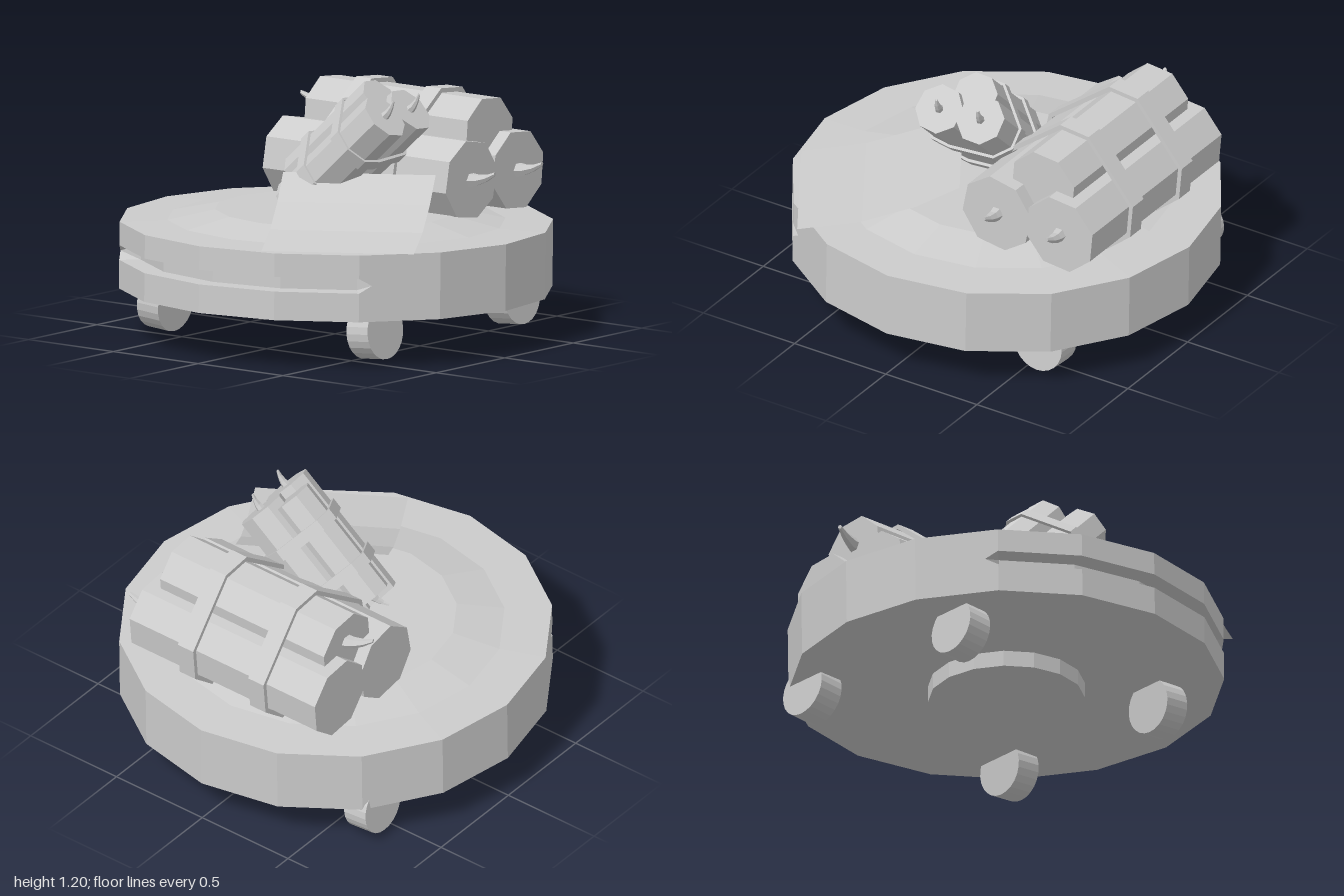
import * as THREE from 'three';

const mat = new THREE.MeshStandardMaterial({ color: 0xcccccc, flatShading: true });
const matDouble = new THREE.MeshStandardMaterial({ color: 0xcccccc, flatShading: true, side: THREE.DoubleSide });

function add(parent, name, geometry, x = 0, y = 0, z = 0, material = mat) {
  const mesh = new THREE.Mesh(geometry, material);
  mesh.name = name;
  mesh.position.set(x, y, z);
  parent.add(mesh);
  return mesh;
}

// Skin a grid of points: rows of equal length
function skin(rows) {
  const n = rows[0].length, pos = rows.flat(2), idx = [];
  for (let i = 0; i < rows.length - 1; i++)
    for (let j = 0; j < n - 1; j++) {
      const a = i * n + j, b = a + n;
      idx.push(a, b, a + 1, b, b + 1, a + 1);
    }
  const g = new THREE.BufferGeometry();
  g.setAttribute('position', new THREE.Float32BufferAttribute(pos, 3));
  g.setIndex(idx);
  const flat = g.toNonIndexed();
  flat.computeVertexNormals();
  return flat;
}

// Sixteen-sided body with a raised dome and a pointed slot round the front
function bodyGeometry() {
  const step = 22.5, tip = 48.5, rad = Math.PI / 180;
  const angles = [-tip, tip];
  for (let i = -8; i <= 8; i++) angles.push(i * step);
  angles.sort((a, b) => a - b);
  const rows = angles.map(a => {
    const mid = (Math.floor(a / step) + 0.5) * step;
    const k = Math.cos(step / 2 * rad) / Math.cos((a - mid) * rad);
    const open = Math.abs(a) < tip - 1 ? 1 : 0;
    const d = 0.1 * open, h = 0.034 * open, c = 0.385;
    const profile = [[0, 0.218], [1, 0.218], [1, c - h], [1 - d, c - h], [1 - d, c + h],
      [1, c + h], [1, 0.528], [0.78, 0.535], [0.56, 0.583], [0, 0.583]];
    return profile.map(([r, y]) => [r * k * Math.sin(a * rad), y, r * k * Math.cos(a * rad)]);
  });
  return skin(rows);
}

// Convex outline (monotone chain) around a set of 2D points
function hull(points) {
  const p = [...points].sort((a, b) => a.x - b.x || a.y - b.y);
  const half = list => {
    const out = [];
    for (const q of list) {
      while (out.length > 1) {
        const a = out[out.length - 2], b = out[out.length - 1];
        if ((b.x - a.x) * (q.y - a.y) - (b.y - a.y) * (q.x - a.x) > 1e-6) break;
        out.pop();
      }
      out.push(q);
    }
    return out.slice(0, -1);
  };
  return [...half(p), ...half(p.reverse())];
}

// y, z, radius, start x, end x, polygon phase, fuse side
const STICKS = [
  [0, 0.172, 0.19, -0.53, 0.55, 0.2, 1],
  [0, -0.172, 0.19, -0.53, 0.55, 0.3, 1],
  [0.178, -0.04, 0.178, -0.47, 0.485, 0.3, -1],
];

function outline(grow) {
  const pts = [];
  for (const [y, z, r, , , phase] of STICKS)
    for (let i = 0; i < 8; i++) {
      const a = phase + i * Math.PI / 4;
      pts.push(new THREE.Vector2(-z - (r + grow) * Math.sin(a), y + (r + grow) * Math.cos(a)));
    }
  return hull(pts);
}

// Tapered fuse that bends upward, pointing along +x
function fuseGeometry() {
  const g = new THREE.CylinderGeometry(0.01, 0.036, 0.14, 6, 3);
  g.translate(0, 0.06, 0).rotateZ(-Math.PI / 2);
  const p = g.attributes.position;
  for (let i = 0; i < p.count; i++) {
    const t = Math.max(0, p.getX(i)) / 0.13;
    p.setY(i, p.getY(i) + 0.04 * t * t);
  }
  g.computeVertexNormals();
  return g;
}

// Three sticks with fuses, held by two straps
function bundle(name) {
  const group = new THREE.Group();
  group.name = name;
  for (const [y, z, r, x0, x1, phase, side] of STICKS) {
    const g = new THREE.CylinderGeometry(r, r, x1 - x0, 8);
    g.rotateZ(Math.PI / 2).rotateX(phase);
    add(group, 'stick', g, (x0 + x1) / 2, y, z);
    const fuse = add(group, 'fuse', fuseGeometry(), side > 0 ? x1 : x0, y + (side > 0 ? 0 : 0.04), z);
    fuse.rotation.y = side > 0 ? 0.1 : Math.PI + 0.3;
  }
  for (const x of [-0.205, 0.205]) {
    const shape = new THREE.Shape(outline(0.026));
    shape.holes.push(new THREE.Path(outline(0.004)));
    const g = new THREE.ExtrudeGeometry(shape, { depth: 0.09, bevelEnabled: false });
    g.translate(0, 0, -0.045).rotateY(Math.PI / 2);
    add(group, 'strap', g, x);
  }
  return group;
}

export function createModel() {
  const model = new THREE.Group();
  model.name = 'discRobot';

  // Body and underside hub, leaning very slightly backward
  const base = new THREE.Group();
  base.name = 'base';
  base.rotation.x = -0.0175;
  add(base, 'body', bodyGeometry());
  add(base, 'hub', new THREE.CylinderGeometry(0.36, 0.36, 0.1, 16), 0, 0.192, 0);
  model.add(base);

  // Wheels splayed outward at the bottom
  for (const [x, side] of [[-0.67, -1], [0.565, 1]])
    for (const [z, y] of [[0.41, 0.135], [-0.59, 0.16]]) {
      const g = new THREE.CylinderGeometry(0.13, 0.13, 0.125, 24);
      g.rotateZ(Math.PI / 2);
      add(model, 'wheel', g, x, y, z).rotation.z = side * 0.08;
    }

  // Large bundle lying across the back
  const large = bundle('largeBundle');
  large.position.set(0, 0.735, -0.485);
  model.add(large);

  // Small bundle standing at a slant in the middle
  const small = bundle('smallBundle');
  small.scale.setScalar(0.62);
  small.position.set(0.125, 0.84, 0.03);
  small.rotation.set(0, 0.1, 0.75);
  model.add(small);

  // Curved sheet draped from the small bundle to the front edge
  const rows = [[0, 0.785], [0.2, 0.68], [0.45, 0.595], [0.75, 0.548]].map(([t, y]) =>
    [[-0.08, 0.28], [0.52, -0.09]].map(([x, z]) => [x + 0.515 * t, y, z + 0.85 * t]));
  add(model, 'sheet', skin(rows), 0, 0, 0, matDouble);

  return model;
}
